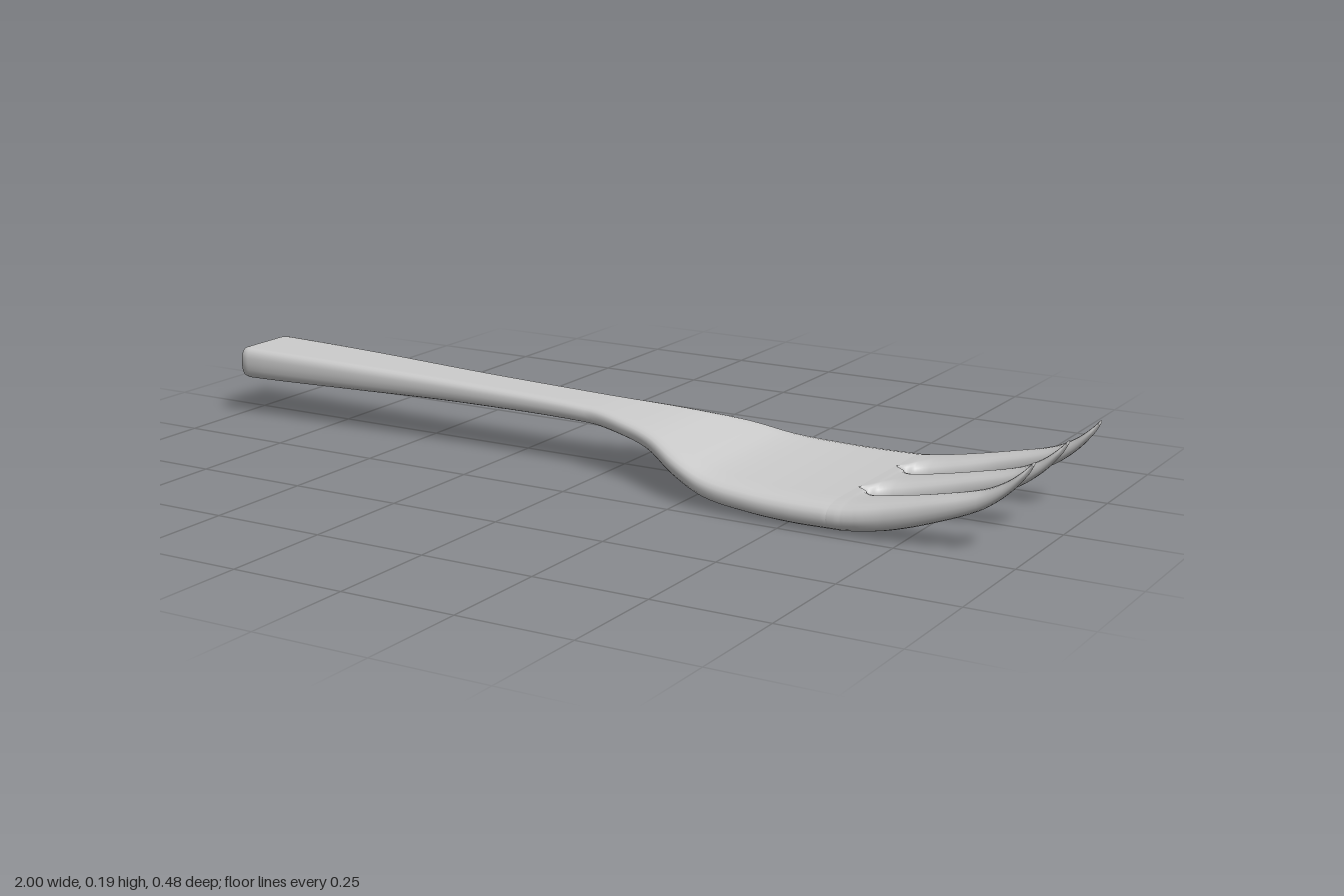
import * as THREE from 'three';

const material = new THREE.MeshStandardMaterial({ color: 0xcccccc });
const ARC = 10; // points along each rounded side

// Smooth interpolation through key rows of numbers
function sampleRows(rows, steps) {
  const out = [];
  const last = rows.length - 1;
  for (let i = 0; i < last; i++) {
    const a = rows[Math.max(i - 1, 0)], b = rows[i], c = rows[i + 1], d = rows[Math.min(i + 2, last)];
    const span = c[0] - b[0];
    for (let s = 0; s < steps; s++) {
      const t = s / steps, t2 = t * t, t3 = t2 * t;
      out.push(b.map((v, k) => {
        if (k === 0) return v + span * t;
        const m0 = (c[k] - a[k]) / (c[0] - a[0]) * span;
        const m1 = (d[k] - b[k]) / (d[0] - b[0]) * span;
        return (2 * t3 - 3 * t2 + 1) * v + (t3 - 2 * t2 + t) * m0 + (3 * t2 - 2 * t3) * c[k] + (t3 - t2) * m1;
      }));
    }
  }
  out.push(rows[last]);
  return out;
}

// Flat slab section with rounded sides: z from lo to hi, y from y0 to y1
function section([x, lo, hi, y0, y1, rLo, rHi]) {
  const pts = [];
  const mid = (y0 + y1) / 2, h = (y1 - y0) / 2;
  const soft = (v) => Math.sign(v) * Math.pow(Math.abs(v), 0.8);
  for (const [side, edge, r] of [[1, hi, rHi], [-1, lo, rLo]]) {
    for (let i = 0; i <= ARC; i++) {
      const a = -Math.PI / 2 + Math.PI * i / ARC;
      pts.push([x, mid + side * h * soft(Math.sin(a)), edge - side * r + side * r * soft(Math.cos(a))]);
    }
  }
  return pts;
}

// Skin the sections, with optional flat caps at the ends
function loft(rows, steps, capStart, capEnd) {
  const rings = sampleRows(rows, steps).map(section);
  const n = rings[0].length;
  const pos = rings.flat(2), idx = [];
  for (let i = 0; i < rings.length - 1; i++) {
    for (let j = 0; j < n; j++) {
      const a = i * n + j, b = i * n + (j + 1) % n;
      idx.push(a, a + n, b, b, a + n, b + n);
    }
  }
  const cap = (ring, flip) => {
    const base = pos.length / 3;
    pos.push(...ring.flat());
    for (let j = 1; j < n - 1; j++) {
      idx.push(base, base + (flip ? j : j + 1), base + (flip ? j + 1 : j));
    }
  };
  if (capStart) cap(rings[0], true);
  if (capEnd) cap(rings[rings.length - 1], false);
  const g = new THREE.BufferGeometry();
  g.setAttribute('position', new THREE.Float32BufferAttribute(pos, 3));
  g.setIndex(idx);
  g.computeVertexNormals();
  return g;
}

export function createModel() {
  const group = new THREE.Group();
  const add = (name, geometry) => {
    const mesh = new THREE.Mesh(geometry, material);
    mesh.name = name;
    group.add(mesh);
  };

  // Handle, neck and palm: x, half width, bottom, top, side rounding
  const body = [
    [-1, 0.075, 0.098, 0.154, 0.02],
    [-0.992, 0.084, 0.092, 0.16, 0.022],
    [-0.97, 0.089, 0.09, 0.161, 0.024],
    [-0.7, 0.08, 0.095, 0.156, 0.024],
    [-0.4, 0.067, 0.1, 0.148, 0.024],
    [-0.06, 0.069, 0.099, 0.138, 0.026],
    [0.04, 0.095, 0.091, 0.13, 0.035],
    [0.13, 0.13, 0.076, 0.118, 0.045],
    [0.22, 0.186, 0.046, 0.097, 0.06],
    [0.31, 0.219, 0.019, 0.075, 0.068],
    [0.42, 0.234, 0.008, 0.066, 0.07],
    [0.52, 0.239, 0.004, 0.064, 0.07],
    [0.6, 0.24, 0.005, 0.065, 0.07],
  ].map(([x, w, y0, y1, r]) => [x, -w, w, y0, y1, r, r]);
  add('handleAndPalm', loft(body, 6, true, false));

  // Tines: x, bottom, top, centre half width, outer tine inner and outer edge
  const tines = [
    [0.6, 0.005, 0.065, 0.09, 0.09, 0.24],
    [0.62, 0.005, 0.067, 0.09, 0.09, 0.24],
    [0.632, 0.006, 0.068, 0.074, 0.106, 0.239],
    [0.66, 0.009, 0.072, 0.062, 0.118, 0.237],
    [0.72, 0.02, 0.083, 0.051, 0.13, 0.23],
    [0.8, 0.045, 0.1, 0.041, 0.144, 0.222],
    [0.9, 0.086, 0.125, 0.032, 0.151, 0.212],
    [0.95, 0.122, 0.15, 0.028, 0.154, 0.208],
    [0.985, 0.162, 0.178, 0.022, 0.159, 0.202],
    [1, 0.187, 0.194, 0.01, 0.17, 0.19],
  ];
  // Sides at a slot start square at the palm and become round
  const slotRound = (x, width) => Math.min(1, (x - 0.6) / 0.05) * width * 0.46;
  const centre = tines.map(([x, y0, y1, w]) => {
    const r = slotRound(x, 2 * w);
    return [x, -w, w, y0, y1, r, r];
  });
  add('centreTine', loft(centre, 5, false, true));

  const outer = tines.map(([x, y0, y1, , zin, zout]) => {
    const w = zout - zin;
    return [x, zin, zout, y0, y1, slotRound(x, w), Math.min(0.07, w * 0.5)];
  });
  add('frontTine', loft(outer, 5, false, true));
  const mirrored = outer.map(([x, lo, hi, y0, y1, rLo, rHi]) => [x, -hi, -lo, y0, y1, rHi, rLo]);
  add('backTine', loft(mirrored, 5, false, true));

  return group;
}
